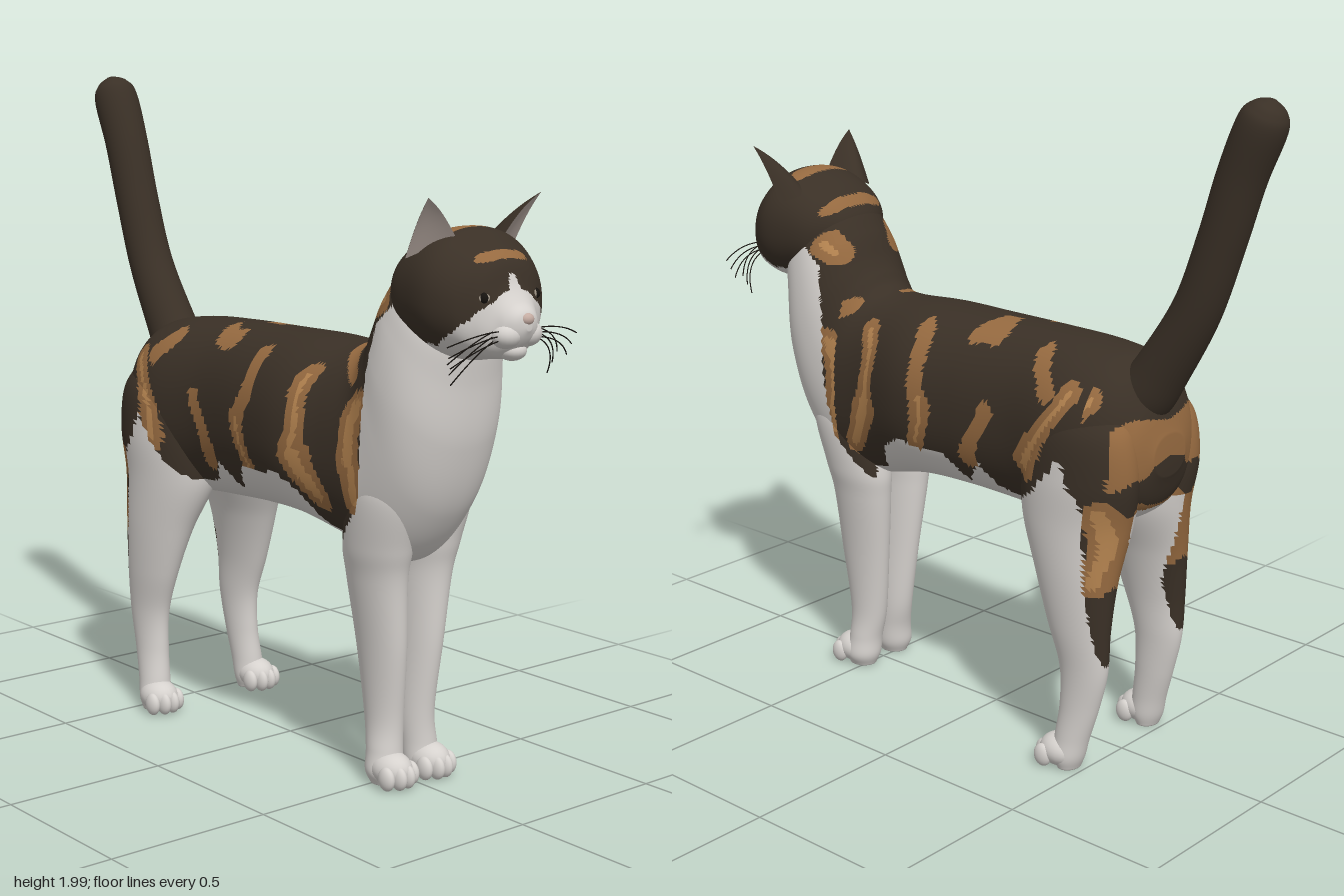
import * as THREE from 'three';

const mat = (name, color, side = THREE.FrontSide) => {
  const m = new THREE.MeshStandardMaterial({ color, side });
  m.name = name;
  return m;
};

// Piecewise linear lookup
function lookup(pts, x) {
  if (x <= pts[0][0]) return pts[0][1];
  for (let i = 1; i < pts.length; i++) {
    const [x0, y0] = pts[i - 1], [x1, y1] = pts[i];
    if (x <= x1) return y0 + (y1 - y0) * (x - x0) / (x1 - x0);
  }
  return pts[pts.length - 1][1];
}

// Lower edge of the dark coat along the body, and along the head
const COAT_EDGE = [[-0.6, 0.34], [-0.575, 0.35], [-0.555, 0.42], [-0.53, 0.58], [-0.52, 0.84], [-0.48, 0.88],
  [-0.45, 0.97], [-0.42, 0.93], [-0.33, 0.83], [-0.25, 0.77], [-0.15, 0.79], [-0.1, 0.86], [-0.03, 0.78],
  [0.03, 0.87], [0.12, 0.86], [0.2, 0.88], [0.28, 0.83], [0.33, 0.74], [0.4, 0.68], [0.45, 0.74],
  [0.52, 0.82], [0.545, 1.0], [0.555, 1.2], [0.58, 1.34], [0.64, 1.39], [0.66, 3]];
const MASK_EDGE = [[0.5, 1.3], [0.6, 1.38], [0.65, 1.33], [0.7, 1.31], [0.8, 1.3], [0.86, 1.34],
  [0.9, 1.375], [0.93, 1.42], [0.96, 1.6]];

// Tan stripes: x1, y1, x2, y2, radius
const STRIPES = [[-0.5, 1.13, -0.36, 0.9, 0.036], [-0.38, 1.21, -0.42, 1.14, 0.03], [-0.2, 1.04, -0.14, 0.86, 0.028],
  [-0.17, 1.235, -0.1, 1.22, 0.028], [0.08, 1.2, 0.03, 1.02, 0.031], [0.03, 1.02, 0.06, 0.88, 0.034],
  [0.3, 1.16, 0.27, 0.97, 0.035], [0.28, 0.95, 0.36, 0.82, 0.045], [0.52, 1.1, 0.48, 0.96, 0.048],
  [0.48, 0.97, 0.52, 0.83, 0.037], [-0.62, 1.05, -0.61, 0.92, 0.03], [-0.58, 0.82, -0.56, 0.62, 0.045],
  [0.4, 1.235, 0.46, 1.19, 0.025], [0.54, 1.37, 0.58, 1.4, 0.035], [0.6, 1.52, 0.61, 1.5, 0.018],
  [0.73, 1.59, 0.76, 1.6, 0.022], [0.875, 1.545, 0.88, 1.54, 0.014]];

// Colour index: 0 white, 1 dark, 2 tan, 3 light tan
function coatColour(x, y, z) {
  let px = z < 0 && x > -0.5 && x < 0.5 ? x - 0.07 : x;
  px += 0.011 * Math.sin(27 * y + 9 * x);
  const py = y + 0.01 * Math.sin(31 * x);
  let result = 1;
  for (const [x1, y1, x2, y2, r] of STRIPES) {
    const dx = x2 - x1, dy = y2 - y1;
    const t = Math.min(1, Math.max(0, ((px - x1) * dx + (py - y1) * dy) / (dx * dx + dy * dy)));
    const d = Math.hypot(px - x1 - t * dx, py - y1 - t * dy);
    if (r > 0.032 && d < r - 0.026) return 3;
    if (d < r) result = 2;
  }
  return result;
}
function paintBody(x, y, z) {
  if (y < 0.8 && Math.abs(z) < 0.12) return 0;
  return y < lookup(COAT_EDGE, x) ? 0 : coatColour(x, y, z);
}
function paintHead(x, y, z) {
  const blaze = x > 0.86 && y < 1.49 && Math.abs(z) < 0.01 + (1.49 - y) * 0.3;
  return blaze || y < lookup(MASK_EDGE, x) ? 0 : coatColour(x, y, z);
}

// Smooth skin through sections [topX, topY, bottomX, bottomY, halfWidth, z]
function loft(sections, rings, sides, power, paint) {
  const curve = f => new THREE.CatmullRomCurve3(sections.map(f), false, 'catmullrom', 0.5);
  const top = curve(s => new THREE.Vector3(s[0], s[1], 0));
  const bottom = curve(s => new THREE.Vector3(s[2], s[3], 0));
  const width = curve(s => new THREE.Vector3(s[4], s[5] || 0, 0));
  const bend = v => Math.sign(v) * Math.abs(v) ** (2 / power);
  const pos = [], groups = [[], [], [], []];
  for (let i = -1; i <= rings + 1; i++) {
    const t = Math.min(1, Math.max(0, i / rings)), k = i < 0 || i > rings ? 0 : 1;
    const a = top.getPoint(t), b = bottom.getPoint(t), w = width.getPoint(t);
    for (let j = 0; j < sides; j++) {
      const ang = j / sides * Math.PI * 2, c = k * bend(Math.cos(ang)) / 2, s = k * bend(Math.sin(ang));
      pos.push((a.x + b.x) / 2 + (a.x - b.x) * c, (a.y + b.y) / 2 + (a.y - b.y) * c, w.y + w.x * s);
    }
  }
  const mid = (tri, o) => (pos[tri[0] * 3 + o] + pos[tri[1] * 3 + o] + pos[tri[2] * 3 + o]) / 3;
  for (let i = 0; i < rings + 2; i++) for (let j = 0; j < sides; j++) {
    const n = (j + 1) % sides, p = i * sides, q = p + sides;
    for (const tri of [[p + j, p + n, q + j], [p + n, q + n, q + j]])
      groups[paint ? paint(mid(tri, 0), mid(tri, 1), mid(tri, 2)) : 0].push(...tri);
  }
  const g = new THREE.BufferGeometry();
  g.setAttribute('position', new THREE.Float32BufferAttribute(pos, 3));
  g.setIndex(groups.flat());
  let start = 0;
  groups.forEach((list, m) => {
    if (list.length) g.addGroup(start, list.length, m);
    start += list.length;
  });
  g.computeVertexNormals();
  return g;
}

// Curved sheet rising from a base curve to a tip
function sheet(a, control, b, tip) {
  const base = new THREE.QuadraticBezierCurve3(a, control, b), pos = [], idx = [], N = 12, M = 8;
  for (let j = 0; j <= M; j++) for (let i = 0; i <= N; i++) {
    const p = base.getPoint(i / N).lerp(tip, j / M);
    pos.push(p.x, p.y + 0.012 * Math.sin(Math.PI * j / M), p.z);
    if (i < N && j < M) {
      const k = j * (N + 1) + i;
      idx.push(k, k + 1, k + N + 1, k + 1, k + N + 2, k + N + 1);
    }
  }
  const g = new THREE.BufferGeometry();
  g.setAttribute('position', new THREE.Float32BufferAttribute(pos, 3));
  g.setIndex(idx);
  g.computeVertexNormals();
  return g;
}

export function createModel() {
  const cat = new THREE.Group();
  cat.name = 'cat';
  const white = mat('white fur', 0xd6d2ce), dark = mat('dark fur', 0x3a3026, THREE.DoubleSide);
  const tan = mat('tan fur', 0x966a40), light = mat('light tan fur', 0xb58450);
  const earPink = mat('inner ear', 0xb8aaa2, THREE.DoubleSide), eyeGrey = mat('eye', 0x9c9284);
  const black = mat('black', 0x17130f), nosePink = mat('nose', 0xc4aca2);
  const coat = [white, dark, tan, light];
  const V = (x, y, z) => new THREE.Vector3(x, y, z);
  const add = (name, geometry, material, parent = cat) => {
    const m = new THREE.Mesh(geometry, material);
    m.name = name;
    parent.add(m);
    return m;
  };
  const ball = (name, material, p, r, parent) => {
    const m = add(name, new THREE.SphereGeometry(1, 20, 14), material, parent);
    m.position.set(...p);
    m.scale.set(...r);
    return m;
  };

  // Torso, chest and neck
  add('body', loft([[-0.65, 1.02, -0.65, 0.9, 0.07], [-0.62, 1.13, -0.61, 0.8, 0.15], [-0.55, 1.22, -0.52, 0.74, 0.21],
    [-0.42, 1.25, -0.4, 0.71, 0.235], [-0.2, 1.26, -0.22, 0.715, 0.212], [0, 1.26, 0, 0.725, 0.225],
    [0.2, 1.26, 0.2, 0.72, 0.24], [0.36, 1.255, 0.38, 0.68, 0.205], [0.43, 1.27, 0.56, 0.65, 0.195],
    [0.465, 1.31, 0.7, 0.8, 0.198], [0.49, 1.35, 0.77, 1.0, 0.2], [0.53, 1.43, 0.79, 1.18, 0.185],
    [0.6, 1.51, 0.8, 1.27, 0.155], [0.7, 1.5, 0.8, 1.35, 0.08]], 200, 96, 2.2, paintBody), coat);

  // Head and muzzle
  add('head', loft([[0.55, 1.44, 0.57, 1.4, 0.04], [0.57, 1.49, 0.6, 1.34, 0.11], [0.63, 1.555, 0.65, 1.29, 0.17],
    [0.72, 1.6, 0.73, 1.26, 0.197], [0.8, 1.6, 0.8, 1.25, 0.2], [0.86, 1.56, 0.87, 1.26, 0.17],
    [0.905, 1.52, 0.91, 1.265, 0.122], [0.93, 1.46, 0.94, 1.28, 0.08], [0.955, 1.42, 0.96, 1.3, 0.06],
    [0.978, 1.395, 0.975, 1.32, 0.04], [0.988, 1.37, 0.988, 1.345, 0.01]], 110, 80, 2.2, paintHead), coat);
  ball('chin', white, [0.925, 1.288, 0], [0.04, 0.028, 0.04]);
  ball('nose', nosePink, [0.977, 1.375, 0], [0.017, 0.017, 0.022]);

  // Tail
  const path = [[-0.47, 1.03, 0.07], [-0.56, 1.12, 0.085], [-0.63, 1.22, 0.078], [-0.735, 1.4, 0.07], [-0.808, 1.6, 0.068],
    [-0.865, 1.78, 0.069], [-0.922, 1.92, 0.07], [-0.942, 1.965, 0.05], [-0.95, 1.987, 0.015]];
  const tail = path.map(([x, y, r], i) => {
    const p = path[Math.max(0, i - 1)], n = path[Math.min(path.length - 1, i + 1)];
    const l = Math.hypot(n[0] - p[0], n[1] - p[1]), ux = -(n[1] - p[1]) / l * r, uy = (n[0] - p[0]) / l * r;
    return [x + ux, y + uy, x - ux, y - uy, r, -0.01];
  });
  add('tail', loft(tail, 60, 32, 2), dark);

  // Leg sections: y, front x, back x, half width, z
  const hind = [[1.12, -0.38, -0.57, 0.05, 0.12], [1.03, -0.3, -0.62, 0.095, 0.14], [0.9, -0.25, -0.635, 0.113, 0.14],
    [0.76, -0.245, -0.612, 0.113, 0.137], [0.6, -0.31, -0.59, 0.082, 0.165], [0.45, -0.365, -0.58, 0.06, 0.178],
    [0.32, -0.41, -0.574, 0.048, 0.178], [0.2, -0.415, -0.545, 0.045, 0.18], [0.1, -0.405, -0.515, 0.047, 0.186],
    [0.04, -0.4, -0.5, 0.05, 0.19], [0.003, -0.42, -0.485, 0.04, 0.19]];
  const fore = [[0.95, 0.62, 0.46, 0.05, 0.11], [0.85, 0.655, 0.42, 0.08, 0.105], [0.7, 0.622, 0.385, 0.082, 0.092],
    [0.6, 0.6, 0.388, 0.07, 0.085], [0.4, 0.588, 0.41, 0.056, 0.07], [0.2, 0.565, 0.435, 0.05, 0.06],
    [0.1, 0.565, 0.455, 0.052, 0.066], [0.04, 0.575, 0.46, 0.055, 0.072], [0.003, 0.565, 0.475, 0.04, 0.072]];

  for (const s of [1, -1]) {
    const side = s > 0 ? 'Near' : 'Far';
    for (const [name, rows, px, pz] of [['hindLeg', hind, -0.425, 0.195], ['foreLeg', fore, 0.548, 0.073]]) {
      const leg = new THREE.Group();
      leg.name = name + side;
      cat.add(leg);
      add('leg', loft(rows.map(([y, f, b, w, z]) => [f, y, b, y, w, z * s]), 100, 48, 2, paintBody), coat, leg);
      // Paw and toes
      ball('paw', white, [px, 0.05, pz * s], [0.068, 0.05, 0.057], leg);
      for (let i = 0; i < 4; i++) {
        const o = (i - 1.5) * 0.031, inner = Math.abs(i - 1.5) < 1;
        ball('toe', white, [px + (inner ? 0.05 : 0.032), 0.036, pz * s + o], [0.03, 0.035, 0.0185], leg);
      }
    }

    // Ear shell and lining
    const a = V(0.8, 1.575, 0.085 * s), b = V(0.72, 1.525, 0.195 * s), tip = V(0.82, 1.69, 0.207 * s);
    add('ear' + side, sheet(a, V(0.62, 1.55, 0.1 * s), b, tip), dark);
    add('innerEar' + side, sheet(a, V(0.74, 1.55, 0.135 * s), b, tip), earPink);

    // Eye, whisker pad
    ball('eye' + side, eyeGrey, [0.904, 1.43, 0.088 * s], [0.021, 0.018, 0.024]);
    ball('pupil' + side, black, [0.914, 1.431, 0.096 * s], [0.013, 0.015, 0.012]);
    ball('muzzle' + side, white, [0.938, 1.332, 0.038 * s], [0.042, 0.036, 0.045]);

    // Whiskers
    for (let i = 0; i < 6; i++) {
      const y = 1.345 - (i % 3) * 0.012, x = 0.95 - Math.floor(i / 3) * 0.018;
      const c = new THREE.QuadraticBezierCurve3(V(x, y, 0.07 * s), V(x + 0.015, y + 0.005 - i * 0.006, 0.15 * s),
        V(x - 0.02 - i * 0.006, y - 0.03 - i * 0.017, (0.24 - i * 0.012) * s));
      add('whisker' + side, new THREE.TubeGeometry(c, 10, 0.0018, 5), black);
    }
  }
  return cat;
}
